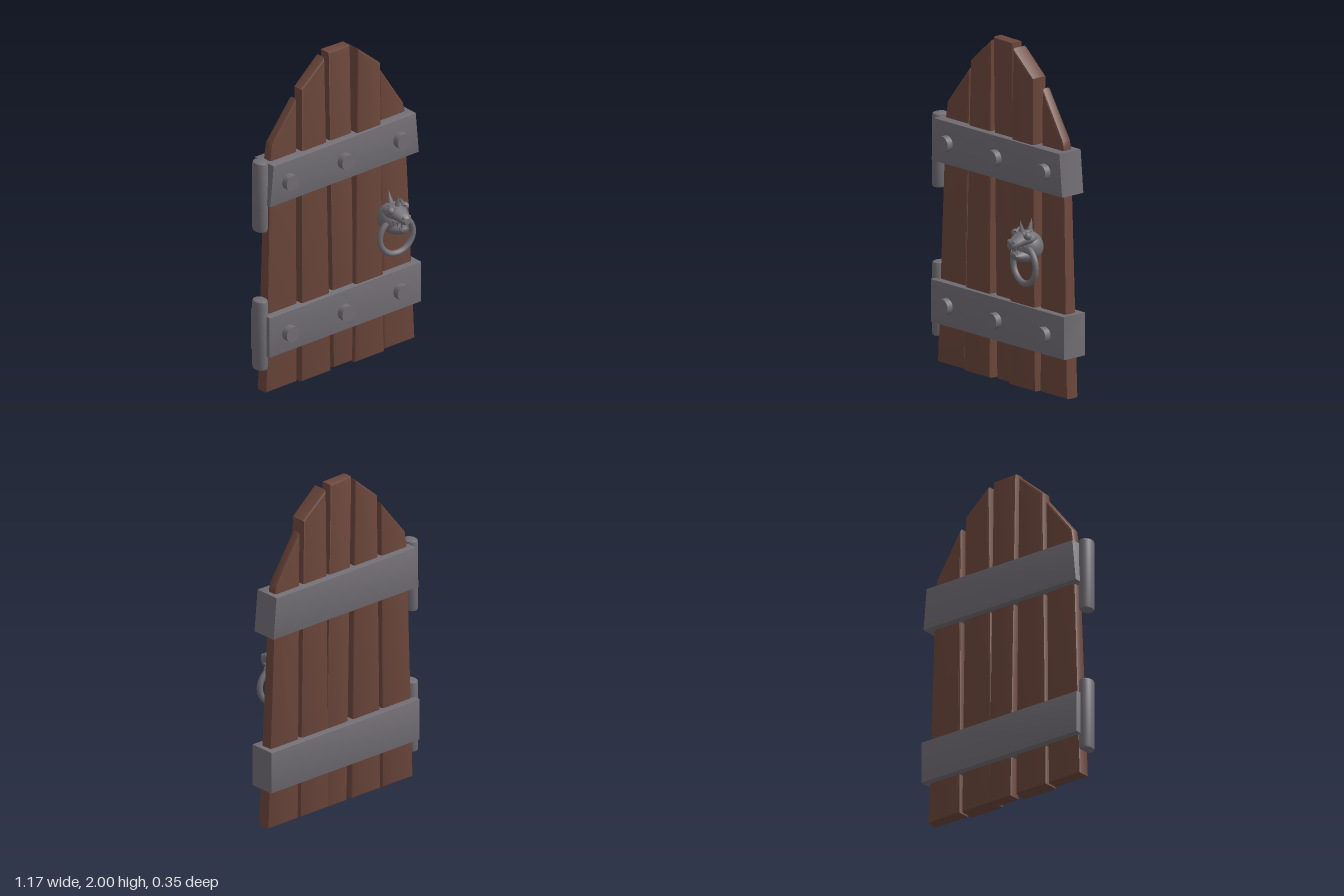
import * as THREE from 'three';
import { toCreasedNormals } from 'three/addons/utils/BufferGeometryUtils.js';

const wood = new THREE.MeshStandardMaterial({ color: 0x6b463b });
const iron = new THREE.MeshStandardMaterial({ color: 0x716d74 });

function add(parent, name, geometry, material, x = 0, y = 0, z = 0) {
  const mesh = new THREE.Mesh(geometry, material);
  mesh.name = name;
  mesh.position.set(x, y, z);
  parent.add(mesh);
  return mesh;
}

// Bevelled slab from a front outline; its front face may lean from zBottom to zTop
function slab(points, back, zBottom, zTop, bevel) {
  const shape = new THREE.Shape(points.map(([x, y]) => new THREE.Vector2(x, y)));
  const depth = zBottom - back - 2 * bevel;
  const geo = new THREE.ExtrudeGeometry(shape, {
    depth, bevelEnabled: true, bevelThickness: bevel, bevelSize: bevel,
    bevelOffset: -bevel, bevelSegments: 2,
  });
  geo.translate(0, 0, back + bevel);
  const p = geo.attributes.position;
  const middle = (back + zBottom) / 2;
  for (let i = 0; i < p.count; i++) {
    if (p.getZ(i) > middle) p.setZ(i, p.getZ(i) + (zTop - zBottom) * p.getY(i) / 2);
  }
  return toCreasedNormals(geo, 0.6);
}

// Closed skin through elliptical sections [z, y, halfWidth, halfHeight]
function loft(sections, sides = 14) {
  const pos = [], index = [];
  for (const [z, y, w, h] of sections) {
    for (let i = 0; i < sides; i++) {
      const a = (i / sides) * Math.PI * 2;
      pos.push(Math.cos(a) * w, y + Math.sin(a) * h, z);
    }
  }
  for (let s = 0; s < sections.length - 1; s++) {
    for (let i = 0; i < sides; i++) {
      const j = (i + 1) % sides, a = s * sides, b = a + sides;
      index.push(a + i, a + j, b + i, a + j, b + j, b + i);
    }
  }
  const geo = new THREE.BufferGeometry();
  geo.setAttribute('position', new THREE.Float32BufferAttribute(pos, 3));
  geo.setIndex(index);
  return toCreasedNormals(geo, 0.7);
}

// Beast-head knocker, built around its own centre line
function knocker() {
  const head = new THREE.Group();
  head.name = 'knocker';

  const skull = add(head, 'skull', new THREE.SphereGeometry(0.083, 24, 16), iron, 0, 0.865, 0.025);
  skull.scale.set(0.95, 1.05, 1);

  add(head, 'upperJaw', loft([
    [0.0, 0.91, 0, 0], [0.01, 0.915, 0.06, 0.045], [0.06, 0.922, 0.07, 0.047],
    [0.1, 0.92, 0.058, 0.04], [0.135, 0.905, 0.042, 0.033],
    [0.16, 0.9, 0.036, 0.03], [0.174, 0.895, 0.022, 0.02], [0.175, 0.895, 0, 0],
  ]), iron);
  add(head, 'lowerJaw', loft([
    [0.02, 0.83, 0, 0], [0.03, 0.83, 0.06, 0.055], [0.08, 0.823, 0.056, 0.04],
    [0.12, 0.823, 0.042, 0.028], [0.15, 0.832, 0.026, 0.018], [0.158, 0.838, 0, 0],
  ]), iron);

  // Two crest spikes on the centre line
  for (const [y, z, lean] of [[0.985, 0.085, 0.2], [0.985, 0.015, -0.25]]) {
    const spike = add(head, 'crestSpike', new THREE.ConeGeometry(0.022, 0.095, 8), iron, 0, y, z);
    spike.rotation.x = lean;
  }

  for (const side of [-1, 1]) {
    add(head, 'eye', new THREE.SphereGeometry(0.024, 14, 10), iron, side * 0.052, 0.945, 0.085);
    const brow = add(head, 'brow', new THREE.ConeGeometry(0.016, 0.07, 8), iron, side * 0.045, 0.965, 0.07);
    brow.rotation.set(-1.1, 0, -side * 0.3);
    add(head, 'nostril', new THREE.SphereGeometry(0.011, 10, 8), iron, side * 0.02, 0.916, 0.161);
    // Fangs
    for (const [x, z] of [[0.027, 0.152], [0.036, 0.125], [0.045, 0.1]]) {
      const fang = add(head, 'upperFang', new THREE.ConeGeometry(0.008, 0.035, 6), iron, side * x, 0.868, z);
      fang.rotation.x = Math.PI;
    }
    add(head, 'lowerFang', new THREE.ConeGeometry(0.008, 0.03, 6), iron, side * 0.025, 0.853, 0.138);
  }

  const ring = add(head, 'ring', new THREE.TorusGeometry(0.111, 0.018, 12, 40), iron, 0.005, 0.766, 0.066);
  ring.rotation.y = -0.13;
  return head;
}

export function createModel() {
  const door = new THREE.Group();
  door.name = 'door';

  // Planks: outline, front depth at the bottom and at the top
  const planks = [
    [[[-0.53, 0], [-0.3, 0], [-0.285, 1.77], [-0.47, 1.54], [-0.485, 1.44]], -0.05, -0.078],
    [[[-0.285, 0], [-0.065, 0], [-0.088, 1.975], [-0.26, 1.825]], -0.03, -0.06],
    [[[-0.03, 0], [0.13, 0], [0.098, 1.996], [-0.065, 2]], -0.05, -0.055],
    [[[0.105, 0], [0.325, 0], [0.3, 1.83], [0.13, 1.975]], -0.022, -0.03],
    [[[0.34, 0], [0.57, 0], [0.515, 1.46], [0.505, 1.5], [0.33, 1.77]], -0.045, -0.078],
  ];
  for (const [outline, zBottom, zTop] of planks) {
    add(door, 'plank', slab(outline, -0.133, zBottom, zTop, 0.014), wood);
  }

  // Iron bands wrapping the planks
  const bands = [
    ['upperBand', [[-0.535, 1.19], [0.568, 1.19], [0.545, 1.442], [-0.51, 1.442]]],
    ['lowerBand', [[-0.54, 0.24], [0.583, 0.24], [0.583, 0.492], [-0.54, 0.492]]],
  ];
  for (const [name, outline] of bands) {
    add(door, name, slab(outline, -0.175, -0.01, -0.01, 0.004), iron);
  }

  // Bolts
  for (const y of [0.36, 1.315]) {
    for (const x of [-0.4, 0.011, 0.424]) {
      const bolt = add(door, 'bolt', new THREE.CylinderGeometry(0.047, 0.047, 0.06, 24), iron, x, y, 0);
      bolt.rotation.x = Math.PI / 2;
    }
  }

  // Hinge barrels with rounded rims, oval in section
  for (const [y, h] of [[0.15, 0.435], [1.022, 0.435]]) {
    const profile = [[0, 0], [0.04, 0], [0.047, 0.004], [0.05, 0.015],
      [0.05, h - 0.015], [0.047, h - 0.004], [0.04, h], [0, h]].map(([r, v]) => new THREE.Vector2(r, v));
    const hinge = add(door, 'hinge', toCreasedNormals(new THREE.LatheGeometry(profile, 24), 0.6), iron, -0.545, y, -0.088);
    hinge.scale.x = 0.8;
  }

  const head = knocker();
  head.position.x = 0.33;
  door.add(head);
  return door;
}
